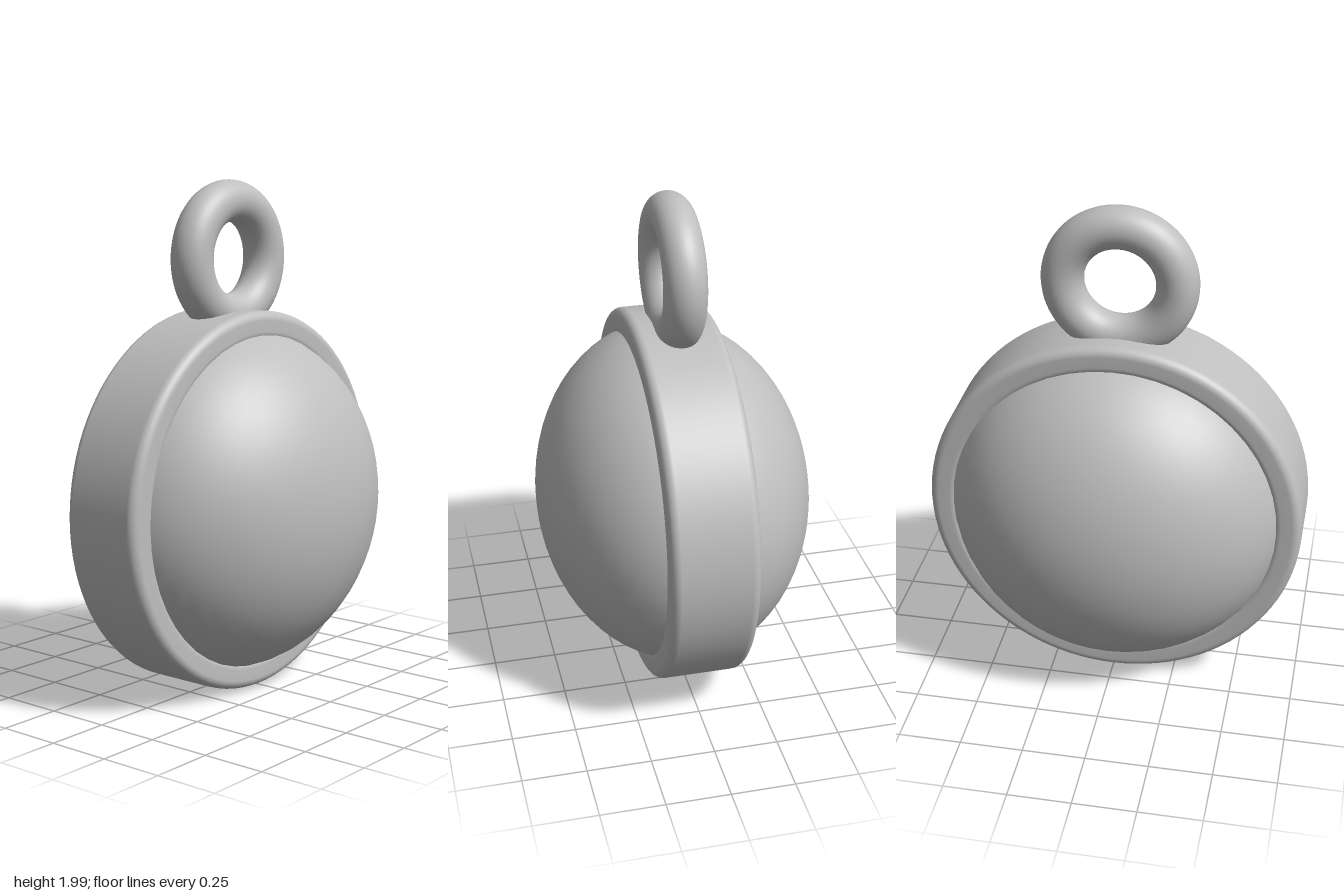
import * as THREE from 'three';

export function createModel() {
  const group = new THREE.Group();
  const metal = new THREE.MeshStandardMaterial({ color: 0xbfbfbf });
  metal.name = 'grey metal';
  const add = (name, geometry, y, z) => {
    const mesh = new THREE.Mesh(geometry, metal);
    mesh.name = name;
    mesh.position.set(0, y, z);
    group.add(mesh);
  };
  const centreY = 0.752;

  // Round band: a rounded rectangle section turned about the z axis
  const inner = 0.63, outer = 0.746, half = 0.17, r = 0.036;
  const corners = [
    [inner + r, -half + r, Math.PI],
    [outer - r, -half + r, Math.PI * 1.5],
    [outer - r, half - r, 0],
    [inner + r, half - r, Math.PI * 0.5],
  ];
  const profile = [];
  for (const [cx, cy, start] of corners) {
    for (let i = 0; i <= 6; i++) {
      const a = start + (i / 6) * Math.PI / 2;
      profile.push(new THREE.Vector2(cx + r * Math.cos(a), cy + r * Math.sin(a)));
    }
  }
  profile.push(profile[0].clone());
  add('band', new THREE.LatheGeometry(profile, 96).rotateX(Math.PI / 2), centreY, -0.005);

  // Domed body bulging through the band on both faces
  const dome = new THREE.SphereGeometry(1, 48, 32).rotateX(Math.PI / 2).scale(0.684, 0.684, 0.541);
  add('domedBody', dome, centreY, 0);

  // Hanging loop sunk into the top of the band
  add('hangingLoop', new THREE.TorusGeometry(0.22, 0.082, 32, 72), 1.698, -0.005);

  return group;
}
